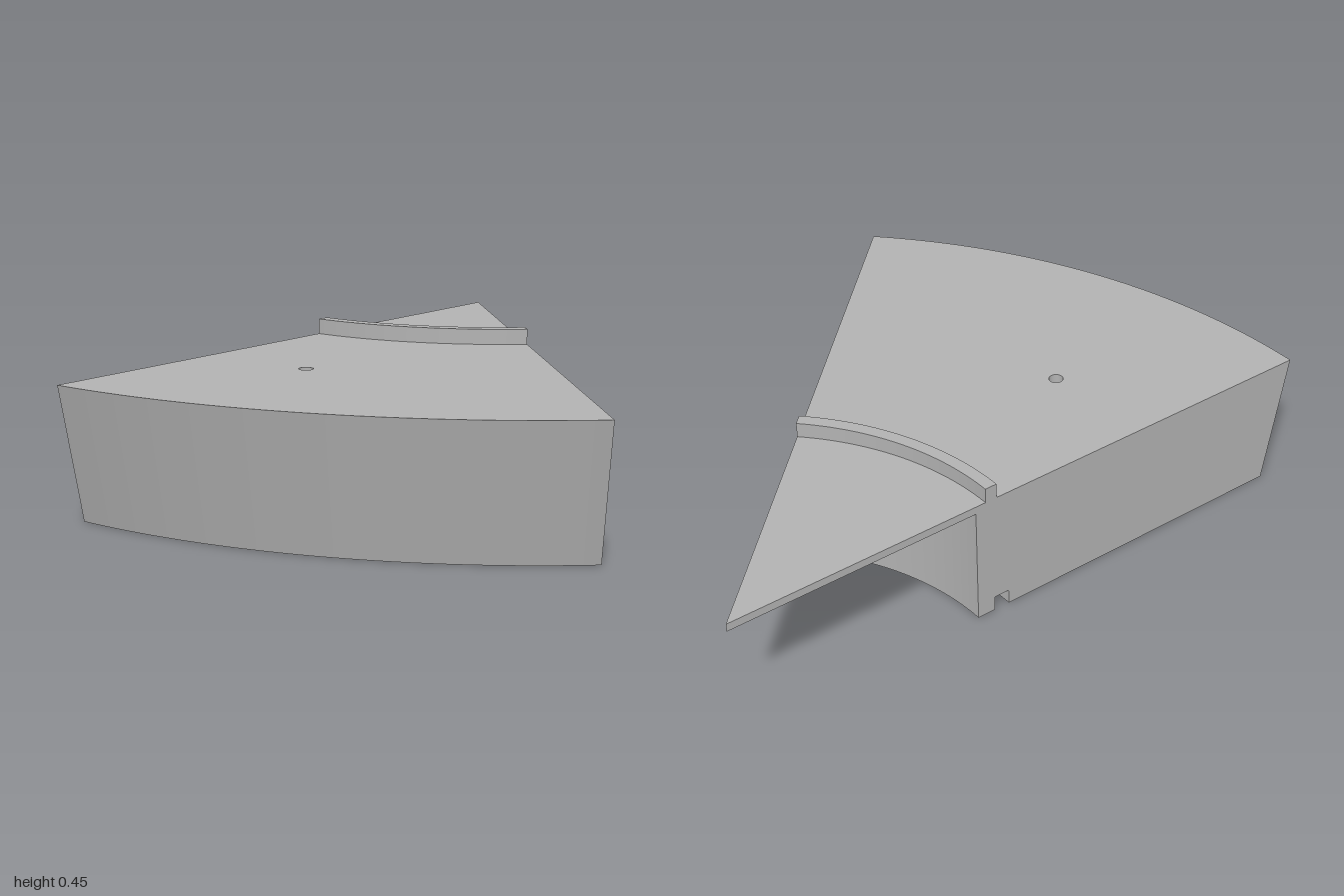
import * as THREE from 'three';
import { mergeGeometries } from 'three/addons/utils/BufferGeometryUtils.js';

const SWEEP = Math.PI / 4;
const SEGMENTS = 48;
const TOP = 0.405;
const HOLE = { x: -0.712, z: 1.225, r: 0.022, depth: 0.06 };

// One smooth swept face per profile edge, keeping the corners sharp
function strip(a, b, start = -SWEEP, sweep = SWEEP, segments = SEGMENTS) {
  return new THREE.LatheGeometry([new THREE.Vector2(...a), new THREE.Vector2(...b)], segments, start, sweep);
}

// Flat ring sector facing up (side = 1) or down (side = -1), pierced by the pin hole
function piercedSector(r0, r1, y, side) {
  const points = [];
  const add = (r, i) => {
    const phi = -SWEEP + (SWEEP * i) / SEGMENTS;
    points.push(new THREE.Vector2(r * Math.sin(phi), -side * r * Math.cos(phi)));
  };
  for (let i = 0; i <= SEGMENTS; i++) add(r1, i);
  for (let i = SEGMENTS; i >= 0; i--) add(r0, i);
  const shape = new THREE.Shape(points);
  const hole = new THREE.Path();
  hole.absarc(HOLE.x, -side * HOLE.z, HOLE.r, 0, Math.PI * 2, true);
  shape.holes.push(hole);
  return new THREE.ShapeGeometry(shape, 12).rotateX(-side * Math.PI / 2).translate(0, y, 0);
}

// Blind pin hole from its inward-facing profile
function pinHole(profile) {
  const parts = [];
  for (let i = 0; i < profile.length - 1; i++) {
    parts.push(strip(profile[i], profile[i + 1], 0, Math.PI * 2, 24));
  }
  return mergeGeometries(parts).translate(HOLE.x, 0, HOLE.z);
}

export function createModel() {
  const group = new THREE.Group();
  group.name = 'wedgeSegment';
  const grey = new THREE.MeshStandardMaterial({ color: 0xb2b2b2 });
  grey.name = 'grey';

  // Cross-section as radius and height, anticlockwise from the tip of the plate
  const profile = [
    [0, 0.38], [0.8, 0.38], [0.8, 0], [0.86, 0], [0.86, 0.047], [0.91, 0.047],
    [0.91, 0], [1.91, 0], [2, TOP], [0.873, TOP], [0.873, 0.452], [0.834, 0.452],
    [0.834, TOP], [0, TOP],
  ];

  const add = (name, geometry) => {
    const mesh = new THREE.Mesh(geometry, grey);
    mesh.name = name;
    mesh.position.set(Math.SQRT1_2, 0, -1); // the tip is the sweep axis
    group.add(mesh);
  };

  // Swept faces; the two broad faces are built separately with their holes
  const names = [
    'plateUnderside', 'innerWall', 'innerLip', 'grooveInnerWall', 'grooveCeiling',
    'grooveOuterWall', null, 'outerWall', null, 'ridgeOuterWall', 'ridgeTop',
    'ridgeInnerWall', 'plateTop',
  ];
  names.forEach((name, i) => {
    if (name) add(name, strip(profile[i], profile[i + 1]));
  });
  add('bodyTop', piercedSector(0.873, 2, TOP, 1));
  add('bodyUnderside', piercedSector(0.91, 1.91, 0, -1));

  // Flat radial sides
  const side = (mirror) =>
    new THREE.ShapeGeometry(new THREE.Shape(profile.map(([r, y]) => new THREE.Vector2(mirror * r, y))));
  add('leftSide', side(-1).rotateY(Math.PI / 2));
  add('rightSide', side(1).rotateY(-SWEEP - Math.PI / 2));

  // Shallow pin holes above and below
  const { r, depth } = HOLE;
  add('topPinHole', pinHole([[r, TOP], [r, TOP - depth], [0, TOP - depth]]));
  add('bottomPinHole', pinHole([[0, depth], [r, depth], [r, 0]]));

  return group;
}
